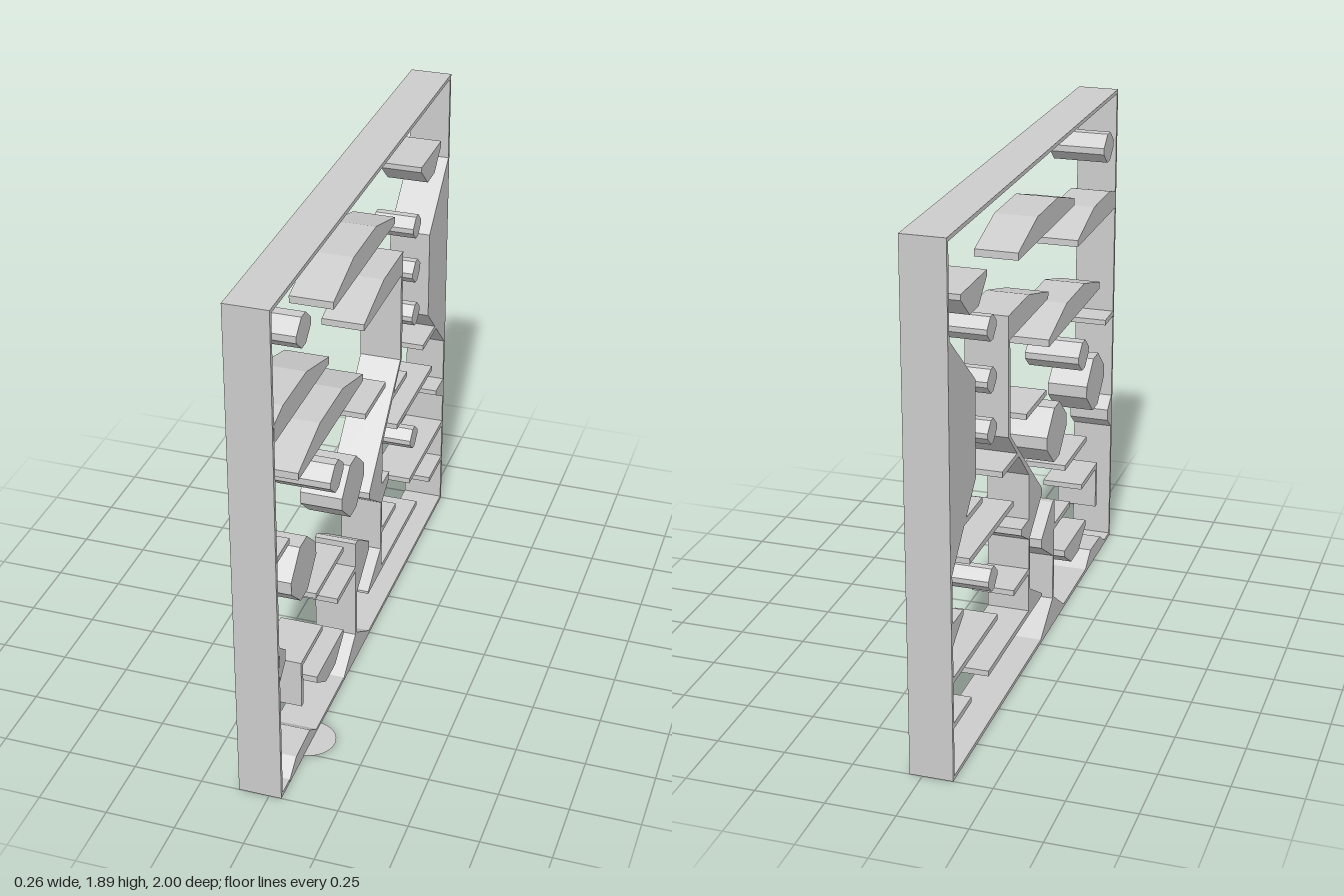
import * as THREE from 'three';

const X0 = -0.11, X1 = 0.046;

export function createModel() {
  const group = new THREE.Group();
  const material = new THREE.MeshStandardMaterial({ color: 0xcccccc, flatShading: true });

  // Profiles are lists of [z, y], extruded sideways along x
  const toPoints = (pts) => pts.map(([z, y]) => new THREE.Vector2(-z, y));
  function slab(name, pts, x0 = X0, x1 = X1, hole) {
    const shape = new THREE.Shape(toPoints(pts));
    if (hole) shape.holes.push(new THREE.Path(toPoints(hole)));
    const geo = new THREE.ExtrudeGeometry(shape, { depth: x1 - x0, bevelEnabled: false });
    geo.rotateY(Math.PI / 2).translate(x0, 0, 0);
    const mesh = new THREE.Mesh(geo, material);
    mesh.name = name;
    group.add(mesh);
  }
  const rect = (z0, z1, y0, y1) => [[z0, y0], [z1, y0], [z1, y1], [z0, y1]];

  // Outer frame
  slab('frame', rect(1, -1, 0, 1.895), X0, 0.045, rect(0.985, -0.985, 0.015, 1.88));

  // Arched platforms
  slab('upperArch', [[0.405, 1.6], [0.405, 1.627], [0.19, 1.69], [-0.06, 1.69], [-0.28, 1.627], [-0.28, 1.6]]);
  slab('sideArch', [[0.99, 1.425], [0.99, 1.49], [0.905, 1.515], [0.68, 1.515], [0.455, 1.45], [0.455, 1.425]]);
  slab('middleArch', [[0.775, 1.16], [0.775, 1.187], [0.555, 1.252], [0.315, 1.252], [0.09, 1.187], [0.09, 1.16]]);

  // Bent dividing wall with its half arch, ledges and foot
  slab('dividingWall', [
    [0.075, 1.35], [0.075, 1.375], [-0.155, 1.44], [-0.39, 1.44], [-0.39, 1.0],
    [-0.15, 0.76], [-0.15, 0.585], [-0.24, 0.585], [-0.24, 0.56], [-0.15, 0.505],
    [-0.15, 0.195], [0.02, 0.195], [0.02, 0.205], [-0.135, 0.3], [-0.135, 0.51],
    [0.01, 0.615], [0.01, 0.64], [-0.37, 1.0], [-0.37, 1.35],
  ]);

  // Stem rising from the floor
  slab('stem', [
    [0.32, 0.01], [0.175, 0.115], [0.175, 0.522], [0.15, 0.522], [0.01, 0.43],
    [0.01, 0.395], [0.16, 0.295], [0.16, 0.115], [0, 0.01],
  ]);

  // Wedges, mound and buckets
  slab('backWedge', [[-0.99, 1.565], [-0.74, 1.345], [-0.74, 1.0], [-0.99, 0.755]]);
  slab('frontBump', [[0.99, 0.638], [0.93, 0.59], [0.93, 0.545], [0.99, 0.495]]);
  slab('backCorbel', [[-0.88, 0.585], [-0.99, 0.585], [-0.99, 0.5], [-0.88, 0.565]]);
  slab('mound', [[0.92, 0.01], [0.845, 0.062], [0.7, 0.068], [0.62, 0.01]]);
  slab('upperBucket', [[-0.615, 1.675], [-0.875, 1.675], [-0.875, 1.655], [-0.79, 1.58], [-0.7, 1.58], [-0.615, 1.655]]);
  slab('lowerBucket', [[0.615, 0.24], [0.32, 0.24], [0.32, 0.215], [0.415, 0.15], [0.52, 0.15], [0.615, 0.215]]);

  // Diamond blocks with clipped corners: z, y, half width, half height
  function diamond(name, z, y, w, h, x0, x1) {
    const a = w * 0.28, b = h * 0.22;
    slab(name, [
      [z + w, y - b], [z + w, y + b], [z + a, y + h], [z - a, y + h],
      [z - w, y + b], [z - w, y - b], [z - a, y - h], [z + a, y - h],
    ], x0, x1);
  }
  for (const y of [1.46, 1.277, 1.095, 0.548]) diamond('smallDiamond', -0.567, y, 0.05, 0.043);
  for (const z of [0.735, 0.2]) diamond('largeDiamond', z, 0.787, 0.127, 0.108);
  diamond('wideDiamond', 0.783, 1.723, 0.07, 0.055, -0.135, 0.075);
  diamond('wideDiamond', 0.467, 0.997, 0.07, 0.056, -0.135, 0.075);

  // Flat shelves: front z, back z, bottom y
  const shelves = [
    [0.99, 0.87, 0.975], [0.06, -0.185, 0.985], [-0.27, -0.46, 0.88], [-0.675, -0.865, 0.88],
    [-0.335, -0.81, 0.717], [0.615, 0.315, 0.58], [0.78, 0.55, 0.4], [0.385, 0.175, 0.4],
    [-0.15, -0.33, 0.365], [-0.515, -0.99, 0.365], [-0.15, -0.62, 0.195], [-0.805, -0.99, 0.195],
  ];
  for (const [a, b, y] of shelves) slab('shelf', rect(a, b, y, y + 0.021));
  slab('hangingPost', rect(0.78, 0.76, 0.235, 0.4));

  // Thin round plate at the floor
  const disc = new THREE.Mesh(
    new THREE.CircleGeometry(0.095, 32).rotateX(-Math.PI / 2),
    new THREE.MeshStandardMaterial({ color: 0xcccccc, side: THREE.DoubleSide }),
  );
  disc.position.set(0.035, 0.005, 0.672);
  disc.name = 'floorDisc';
  group.add(disc);

  return group;
}
